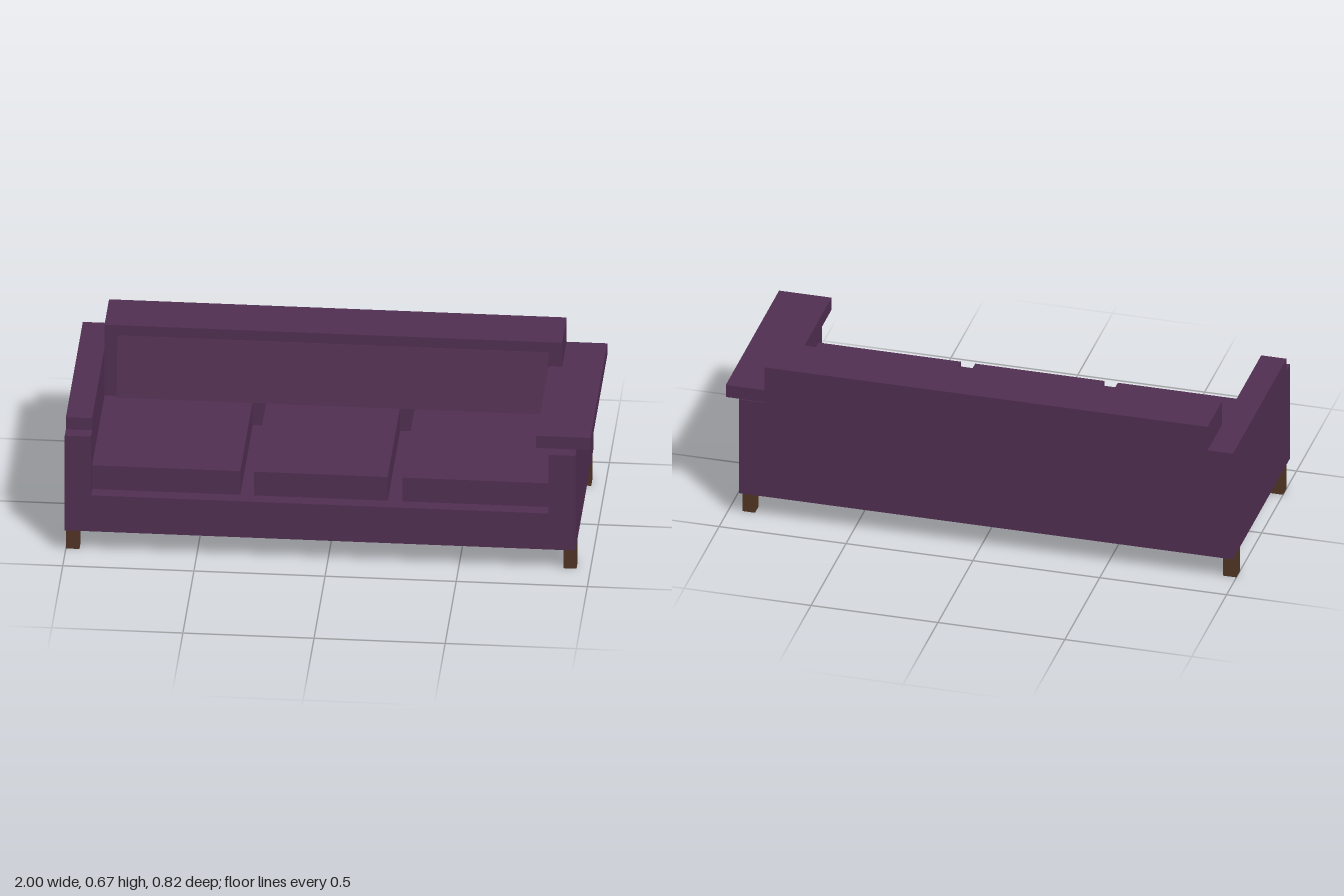
import * as THREE from 'three';

export function createModel() {
  const group = new THREE.Group();
  group.name = 'sofa';
  const fabric = new THREE.MeshStandardMaterial({ color: 0x502e50 });
  fabric.name = 'plum fabric';
  const wood = new THREE.MeshStandardMaterial({ color: 0x4f3423 });
  wood.name = 'dark wood';

  // Box given by its extents on each axis
  const box = (name, [x0, x1], [y0, y1], [z0, z1], material = fabric) => {
    const mesh = new THREE.Mesh(new THREE.BoxGeometry(x1 - x0, y1 - y0, z1 - z0), material);
    mesh.position.set((x0 + x1) / 2, (y0 + y1) / 2, (z0 + z1) / 2);
    mesh.name = name;
    group.add(mesh);
    return mesh;
  };

  // Frame: base, arms and backrest
  box('base', [-1, 0.947], [0.105, 0.26], [-0.41, 0.41]);
  box('rightArm', [-1, -0.9], [0.26, 0.513], [-0.41, 0.41]);
  box('leftArm', [0.845, 0.947], [0.26, 0.513], [-0.41, 0.41]);
  box('backrest', [-0.9, 0.845], [0.26, 0.667], [-0.41, -0.205]);

  // Arm pads: one flush, one wide and overhanging
  box('rightArmPad', [-1, -0.9], [0.513, 0.565], [-0.41, 0.358]);
  box('leftArmPad', [0.793, 1], [0.513, 0.565], [-0.405, 0.358]);

  // Seat cushions
  for (const span of [[-0.9, -0.335], [-0.283, 0.227], [0.283, 0.845]]) {
    box('seatCushion', span, [0.26, 0.362], [-0.205, 0.358]);
  }

  // Leaning back cushion
  const cushion = box('backCushion', [-0.85, 0.793], [0.371, 0.619], [-0.2775, -0.1775]);
  cushion.rotation.x = -0.15;

  // Legs
  for (const x of [[-1, -0.948], [0.897, 0.947]]) {
    for (const z of [[0.308, 0.36], [-0.36, -0.308]]) box('leg', x, [0, 0.105], z, wood);
  }
  return group;
}
